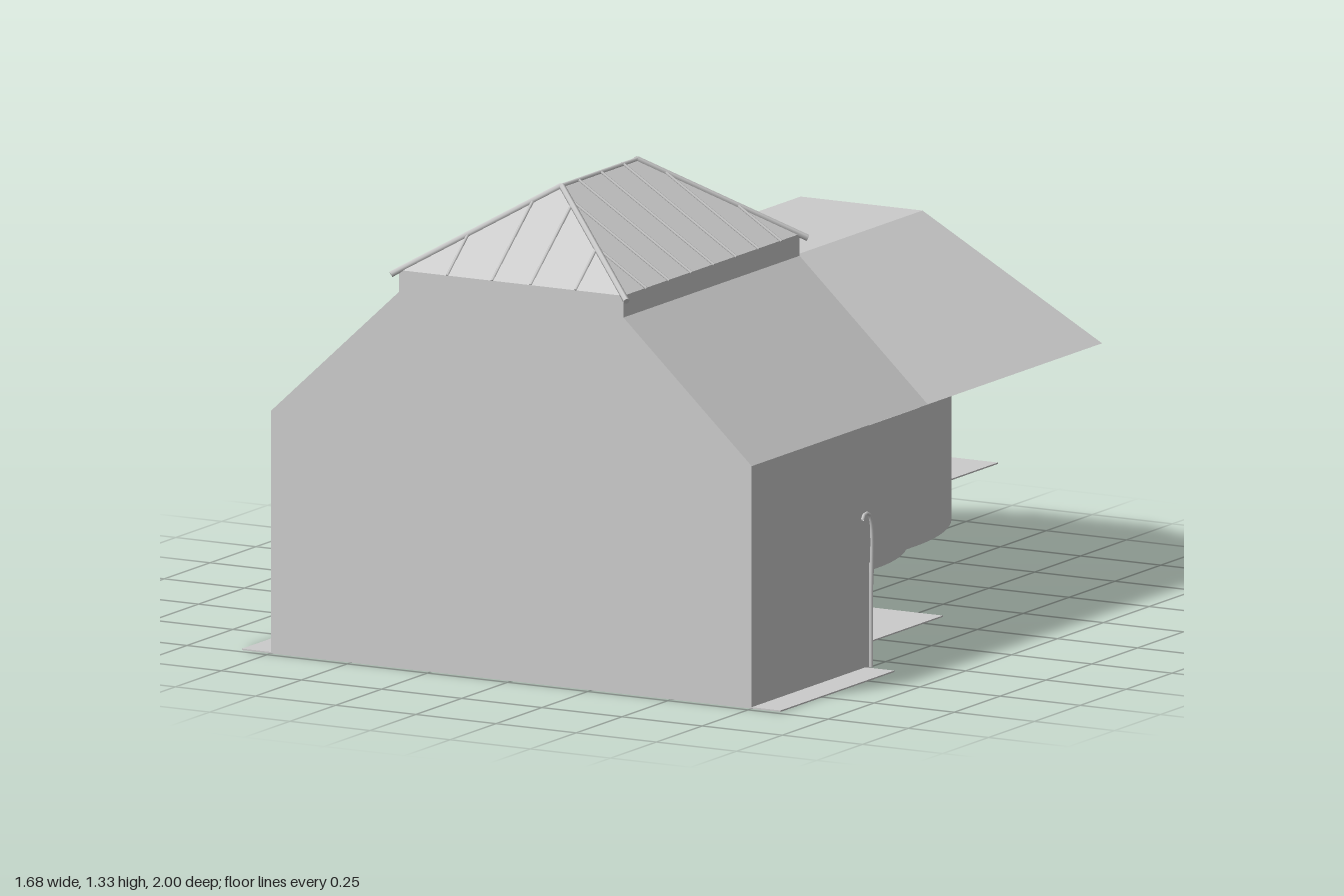
import * as THREE from 'three';

const mat = new THREE.MeshStandardMaterial({ color: 0xcccccc, side: THREE.DoubleSide });
const V = (x, y, z) => new THREE.Vector3(x, y, z);
const R = 0.75, CZ = 0.09, FRONT = 0.98, MID = 0.02, BACK = -0.93, GAP = 0.34, DECK = 0.29;

// Rear roof height above a given x
const roofY = x => 0.98 - Math.max(0, Math.abs(x) - 0.19) * (0.31 / 0.56);

export function createModel() {
  const model = new THREE.Group();

  function add(name, geo, parent = model) {
    const m = new THREE.Mesh(geo, mat);
    m.name = name;
    parent.add(m);
    return m;
  }
  function group(name) {
    const g = new THREE.Group();
    g.name = name;
    model.add(g);
    return g;
  }
  function box(name, x0, x1, y0, y1, z0, z1, parent) {
    const m = add(name, new THREE.BoxGeometry(x1 - x0, y1 - y0, z1 - z0), parent);
    m.position.set((x0 + x1) / 2, (y0 + y1) / 2, (z0 + z1) / 2);
  }
  // Surface strip between two rails of equal length
  function strip(name, a, b, parent, flat = false) {
    const pos = [], idx = [];
    a.forEach((p, i) => {
      pos.push(p.x, p.y, p.z, b[i].x, b[i].y, b[i].z);
      if (i) idx.push(2 * i - 2, 2 * i - 1, 2 * i, 2 * i, 2 * i - 1, 2 * i + 1);
    });
    let g = new THREE.BufferGeometry();
    g.setAttribute('position', new THREE.Float32BufferAttribute(pos, 3));
    g.setIndex(idx);
    if (flat) g = g.toNonIndexed();
    g.computeVertexNormals();
    return add(name, g, parent);
  }
  // Flat outline in the xy plane, placed at z
  function panel(name, pts, z, parent) {
    const s = new THREE.Shape(pts.map(p => new THREE.Vector2(p[0], p[1])));
    add(name, new THREE.ShapeGeometry(s), parent).position.z = z;
  }
  function bar(name, a, b, r, parent) {
    const d = b.clone().sub(a);
    const m = add(name, new THREE.CylinderGeometry(r, r, d.length(), 6), parent);
    m.position.copy(a).add(b).multiplyScalar(0.5);
    m.quaternion.setFromUnitVectors(V(0, 1, 0), d.normalize());
  }
  // Horseshoe path: straight arms joined by a half circle at the back
  function horseshoe(r, y, zEnd = GAP, n = 64) {
    const pts = [V(r, y, zEnd)];
    for (let i = 0; i <= n; i++) {
      const t = Math.PI * i / n;
      pts.push(V(r * Math.cos(t), y, CZ - r * Math.sin(t)));
    }
    pts.push(V(-r, y, zEnd));
    return pts;
  }

  // Ground slab and rear balcony
  const floors = group('floors');
  box('frontFloor', -0.84, 0.84, 0, 0.004, 0.36, FRONT, floors);
  box('arenaFloor', -0.585, 0.585, 0, 0.004, -0.35, 0.36, floors);
  box('balcony', -0.385, 0.385, DECK - 0.003, DECK + 0.001, -1, -0.62, floors);

  // Front gable wall and the gable above the rear roof
  const walls = group('walls');
  panel('frontWall', [[-R, 0], [R, 0], [R, 0.67], [0.35, 1.04], [0.35, 1.1],
    [-0.35, 1.1], [-0.35, 1.04], [-R, 0.67]], FRONT, walls);
  panel('rearGable', [[-R, 0.67], [-0.19, 0.98], [0.19, 0.98], [R, 0.67], [0.35, 1.04],
    [0.35, 1.1], [-0.35, 1.1], [-0.35, 1.04]], MID, walls);

  for (const s of [-1, 1]) {
    // Side wall reaching the ground
    strip('sideWall', [V(s * R, 0, FRONT), V(s * R, 0, GAP)],
      [V(s * R, 0.67, FRONT), V(s * R, 0.67, GAP)], walls);
    // Curved wall raised above the ground, rising to the sloped roof
    const end = Math.acos(0.19 / R), low = [V(s * R, DECK, GAP)];
    for (let i = 0; i <= 40; i++) {
      const t = end * i / 40;
      low.push(V(s * R * Math.cos(t), DECK, CZ - R * Math.sin(t)));
    }
    strip('curvedWall', low, low.map(p => V(p.x, roofY(p.x) - 0.001, p.z)), walls);
    // Stepped end wall below the tiers
    panel('tierEnd', [[0.36, 0], [R, 0], [R, DECK], [0.63, DECK], [0.63, 0.217], [0.54, 0.217],
      [0.54, 0.145], [0.45, 0.145], [0.45, 0.073], [0.36, 0.073]].map(p => [s * p[0], p[1]]), GAP - 0.005, walls);
    // Drain post with a hooked top
    const hook = new THREE.CatmullRomCurve3([V(s * 0.754, 0, 0.335), V(s * 0.754, 0.2, 0.335),
      V(s * 0.754, 0.4, 0.335), V(s * 0.754, 0.428, 0.35), V(s * 0.754, 0.428, 0.375), V(s * 0.754, 0.415, 0.383)]);
    add('post', new THREE.TubeGeometry(hook, 30, 0.005, 6), walls);
  }

  // Rear tower
  const tz = CZ - Math.sqrt(R * R - 0.19 * 0.19);
  const plan = [[0.19, tz], [0.19, BACK], [-0.19, BACK], [-0.19, tz]];
  strip('rearTower', plan.map(p => V(p[0], DECK, p[1])), plan.map(p => V(p[0], 0.98, p[1])), walls, true);

  // Doors
  box('backDoor', -0.14, 0.14, DECK, 0.57, BACK - 0.005, BACK, walls);
  box('sideDoor', -0.758, -R, 0, DECK, 0.5, 0.62, walls);

  // Main roofs
  const roofs = group('roofs');
  const prof = [-R, -0.19, 0.19, R];
  strip('rearRoof', prof.map(x => V(x, roofY(x), MID)), prof.map(x => V(x, roofY(x), BACK)), roofs, true);
  for (const s of [-1, 1]) {
    const edge = [[R, 0.67], [0.35, 1.04], [0.35, 1.1]];
    strip('frontRoof', edge.map(p => V(s * p[0], p[1], MID)), edge.map(p => V(s * p[0], p[1], FRONT)), roofs, true);
  }

  // Hipped skylight with bars along hips, ridge and panes
  const sky = group('skylight');
  const eave = 1.1, top = 1.32, zr = [0.295, 0.705], ze = [MID, FRONT];
  const ridge = zr.map(z => V(0, top, z));
  for (const s of [-1, 1]) {
    strip('sidePane', ze.map(z => V(s * 0.35, eave, z)), ridge, sky, true);
    for (let i = 1; i <= 7; i++) {
      const z = 0.005 + i * 0.1225;
      const f = Math.min(1, (z - MID) / 0.275, (FRONT - z) / 0.275);
      bar('paneBar', V(s * 0.355, eave, z), V(s * 0.35 * (1 - f), eave + 0.22 * f + 0.003, z), 0.004, sky);
    }
  }
  for (const k of [0, 1]) {
    strip('endPane', [V(-0.35, eave, ze[k]), V(0.35, eave, ze[k])], [ridge[k], ridge[k]], sky, true);
    for (const x of [-0.2, -0.06, 0.06, 0.2]) {
      const f = 1 - Math.abs(x) / 0.35;
      bar('paneBar', V(x, eave, ze[k]), V(x, eave + 0.22 * f + 0.003, ze[k] + (zr[k] - ze[k]) * f), 0.004, sky);
    }
    for (const s of [-1, 1])
      bar('hipBar', ridge[k], ridge[k].clone().lerp(V(s * 0.35, eave, ze[k]), 1.05), 0.009, sky);
  }
  bar('ridgeBar', ridge[0], ridge[1], 0.006, sky);

  // Horseshoe seating tiers: a riser and a tread each
  const tiers = group('tiers');
  const radii = [0.36, 0.45, 0.54, 0.63, R];
  for (let i = 0; i < 4; i++) {
    const y0 = i * 0.0725, y1 = y0 + 0.0725;
    strip('riser', horseshoe(radii[i], y0), horseshoe(radii[i], y1), tiers);
    strip('tread', horseshoe(radii[i], y1), horseshoe(radii[i + 1], y1), tiers);
  }

  // Aisle stair between two stringers
  const stair = group('aisleStair');
  for (const x of [-0.1, 0.1]) {
    const side = [[-0.27, 0], [-0.36, 0], [-0.63, 0.215], [-0.63, DECK], [-0.54, DECK], [-0.27, 0.0725]];
    const g = new THREE.ExtrudeGeometry(new THREE.Shape(side.map(p => new THREE.Vector2(-p[0], p[1]))),
      { depth: 0.01, bevelEnabled: false });
    const m = add('stringer', g.rotateY(Math.PI / 2), stair);
    m.position.x = x - 0.005;
  }
  for (let i = 0; i < 8; i++) {
    const y = (i + 1) * 0.036, z = -0.28 - i * 0.036;
    box('step', -0.1, 0.1, y - 0.006, y, z - 0.036, z, stair);
  }
  return model;
}
